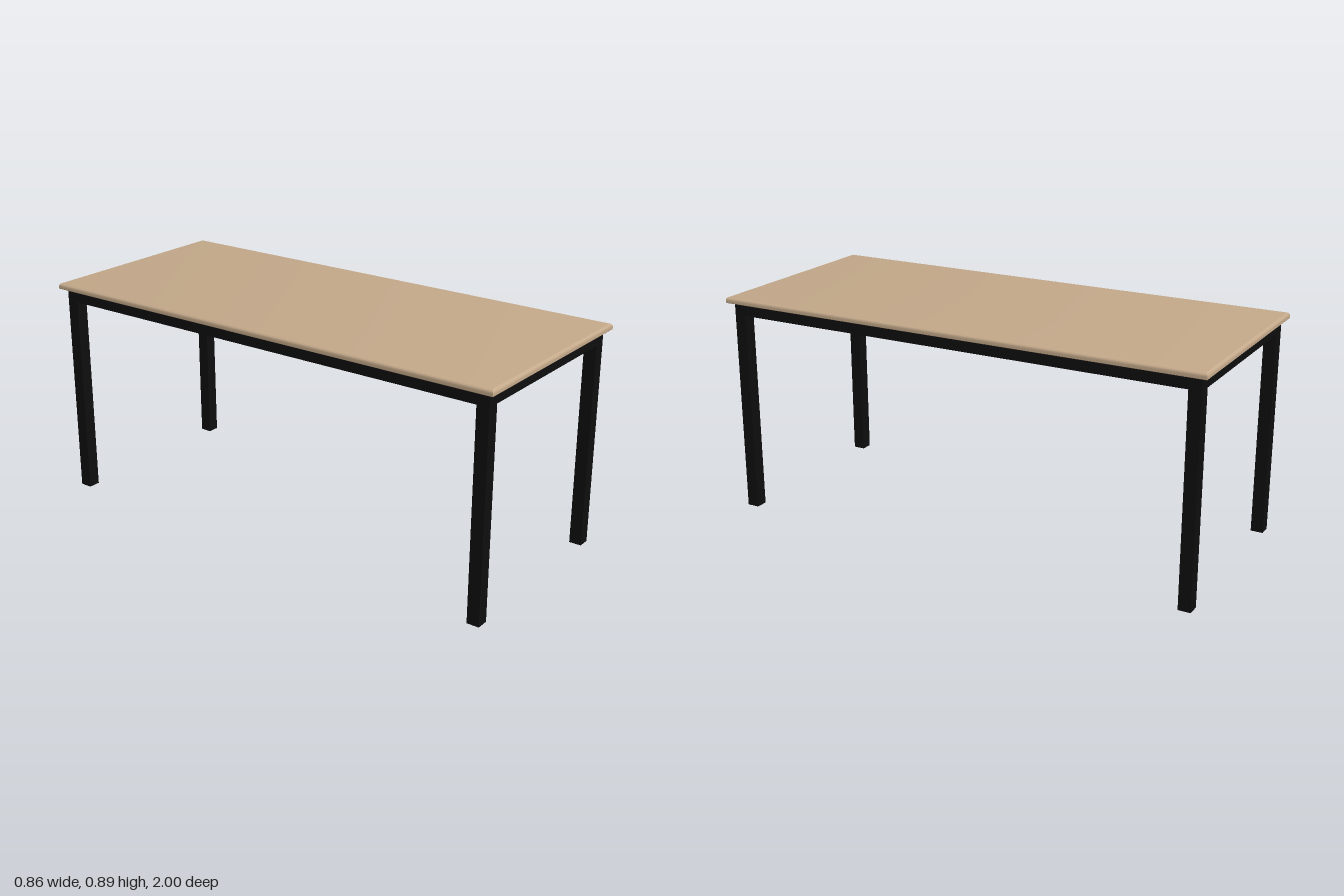
import * as THREE from 'three';
import { toCreasedNormals } from 'three/addons/utils/BufferGeometryUtils.js';

const wood = new THREE.MeshStandardMaterial({ name: 'light wood', color: 0xc4a98a });
const black = new THREE.MeshStandardMaterial({ name: 'black metal', color: 0x0e0e0e });

const HALF_W = 0.43, HALF_L = 1;      // table top half sizes
const FRAME_TOP = 0.862, TOP = 0.886; // underside and upper face of the top
const TUBE = 0.049;                   // square tube of the frame
const LEG_X = 0.381, LEG_Z = 0.951;   // leg centres

// Slab of stacked rectangles, its upper edge rounded on all four sides
function slabGeometry() {
  const radius = 0.013, steps = 5;
  const rings = [[0.002, FRAME_TOP], [0, FRAME_TOP + 0.002]]; // [inset, height]
  for (let i = 0; i <= steps; i++) {
    const a = (i / steps) * Math.PI / 2;
    rings.push([radius * (1 - Math.cos(a)), TOP - radius * (1 - Math.sin(a))]);
  }
  const positions = [], index = [];
  for (const [inset, y] of rings) {
    const x = HALF_W - inset, z = HALF_L - inset;
    positions.push(-x, y, z, x, y, z, x, y, -z, -x, y, -z);
  }
  for (let r = 0; r < rings.length - 1; r++) {
    for (let c = 0; c < 4; c++) {
      const a = r * 4 + c, b = r * 4 + (c + 1) % 4;
      index.push(a, b, b + 4, a, b + 4, a + 4);
    }
  }
  const t = (rings.length - 1) * 4;
  index.push(0, 2, 1, 0, 3, 2, t, t + 1, t + 2, t, t + 2, t + 3);
  const geometry = new THREE.BufferGeometry();
  geometry.setAttribute('position', new THREE.Float32BufferAttribute(positions, 3));
  geometry.setIndex(index);
  return toCreasedNormals(geometry, Math.PI / 6);
}

function bar(name, w, h, d, x, y, z) {
  const mesh = new THREE.Mesh(new THREE.BoxGeometry(w, h, d), black);
  mesh.name = name;
  mesh.position.set(x, y, z);
  return mesh;
}

export function createModel() {
  const table = new THREE.Group();
  table.name = 'table';

  const top = new THREE.Mesh(slabGeometry(), wood);
  top.name = 'tableTop';
  table.add(top);

  const frame = new THREE.Group();
  frame.name = 'frame';
  const railY = FRAME_TOP - TUBE / 2;
  for (const s of [-1, 1]) {
    const side = s > 0 ? 'left' : 'right', end = s > 0 ? 'front' : 'back';
    // Rails fit between the legs
    frame.add(bar(side + 'Rail', TUBE, TUBE, 2 * LEG_Z - TUBE, s * LEG_X, railY, 0));
    frame.add(bar(end + 'Rail', 2 * LEG_X - TUBE, TUBE, TUBE, 0, railY, s * LEG_Z));
    // Legs at both ends of this side
    for (const e of [-1, 1]) {
      const name = (e > 0 ? 'front' : 'back') + (s > 0 ? 'Left' : 'Right') + 'Leg';
      frame.add(bar(name, TUBE, FRAME_TOP, TUBE, s * LEG_X, FRAME_TOP / 2, e * LEG_Z));
    }
  }
  table.add(frame);
  return table;
}
